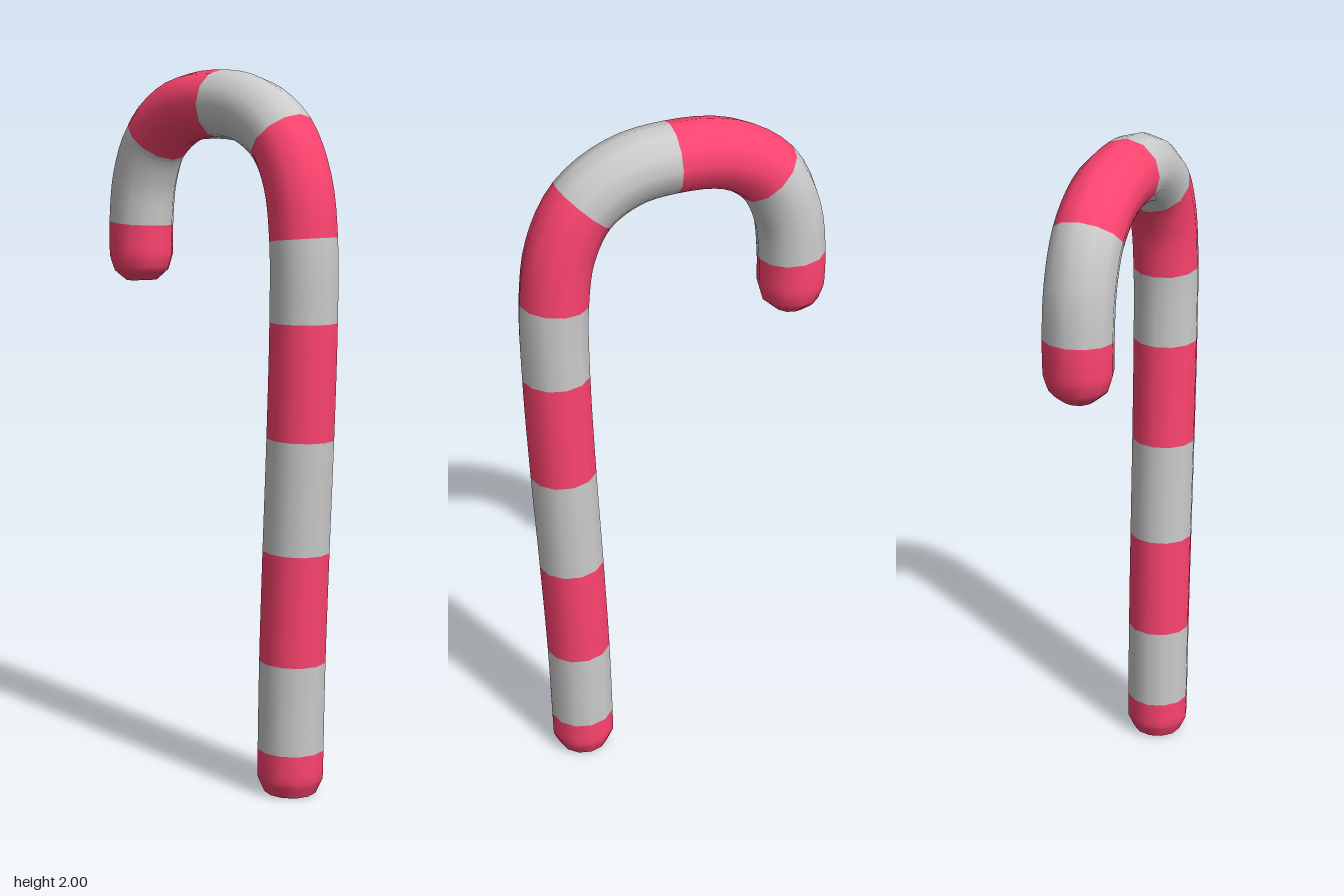
import * as THREE from 'three';

const SIDES = 12, STEPS = 4;

// Centre line from foot to hook tip: x, y, radius
const PATH = [
  [0.297, 0, 0.074], [0.298, 0.045, 0.094], [0.299, 0.125, 0.095],
  [0.304, 0.378, 0.095], [0.316, 0.69, 0.095], [0.33, 1.003, 0.095],
  [0.34, 1.32, 0.095], [0.338, 1.542, 0.095],
  [0.315, 1.69, 0.095], [0.252, 1.81, 0.095],
  [0.14, 1.883, 0.095], [0.007, 1.905, 0.095],
  [-0.15, 1.89, 0.095], [-0.27, 1.815, 0.095],
  [-0.327, 1.7, 0.095], [-0.345, 1.568, 0.095],
  [-0.346, 1.475, 0.094], [-0.345, 1.43, 0.08], [-0.344, 1.4, 0.045],
];
// Path indices where the stripe colour changes
const BREAKS = [0, 2, 3, 4, 5, 6, 7, 9, 11, 13, 15, 18];

const LAST = PATH.length - 1;
const curve = new THREE.CatmullRomCurve3(PATH.map(([x, y]) => new THREE.Vector3(x, y, 0)));

function radiusAt(u) {
  const c = THREE.MathUtils.clamp(u, 0, LAST);
  const i = Math.min(Math.floor(c), LAST - 1);
  return THREE.MathUtils.lerp(PATH[i][2], PATH[i + 1][2], c - i);
}

// Tube section between two path indices, with smooth normals
function stripeGeometry(from, to) {
  const pos = [], nor = [], idx = [];
  const rows = (to - from) * STEPS;
  for (let k = 0; k <= rows; k++) {
    const u = from + k / STEPS;
    const p = curve.getPoint(u / LAST), t = curve.getTangent(u / LAST);
    const u0 = Math.max(0, u - 0.3), u1 = Math.min(LAST, u + 0.3);
    const run = curve.getPoint(u0 / LAST).distanceTo(curve.getPoint(u1 / LAST));
    const slope = (radiusAt(u1) - radiusAt(u0)) / run;
    for (let i = 0; i <= SIDES; i++) {
      const a = (i / SIDES) * Math.PI * 2;
      const out = new THREE.Vector3(t.y * Math.cos(a), -t.x * Math.cos(a), Math.sin(a));
      pos.push(...p.clone().addScaledVector(out, radiusAt(u)).toArray());
      nor.push(...out.addScaledVector(t, -slope).normalize().toArray());
      if (k < rows && i < SIDES) {
        const q = k * (SIDES + 1) + i, r = q + SIDES + 1;
        idx.push(q, r, q + 1, q + 1, r, r + 1);
      }
    }
  }
  const g = new THREE.BufferGeometry();
  g.setAttribute('position', new THREE.Float32BufferAttribute(pos, 3));
  g.setAttribute('normal', new THREE.Float32BufferAttribute(nor, 3));
  g.setIndex(idx);
  return g;
}

export function createModel() {
  const cane = new THREE.Group();
  cane.name = 'candyCane';
  const red = new THREE.MeshStandardMaterial({ color: 0xff4470 });
  const grey = new THREE.MeshStandardMaterial({ color: 0xcccccc });

  // Alternating stripes, red at both ends
  for (let s = 0; s < BREAKS.length - 1; s++) {
    const mesh = new THREE.Mesh(stripeGeometry(BREAKS[s], BREAKS[s + 1]), s % 2 ? grey : red);
    mesh.name = (s % 2 ? 'greyStripe' : 'redStripe') + (s + 1);
    cane.add(mesh);
  }

  // Flat end caps
  for (const [name, v, dir] of [['footCap', 0, -1], ['tipCap', 1, 1]]) {
    const cap = new THREE.Mesh(new THREE.CircleGeometry(radiusAt(v * LAST), SIDES), red);
    cap.name = name;
    cap.position.copy(curve.getPoint(v));
    const facing = curve.getTangent(v).multiplyScalar(dir);
    cap.quaternion.setFromUnitVectors(new THREE.Vector3(0, 0, 1), facing);
    cane.add(cap);
  }
  return cane;
}
